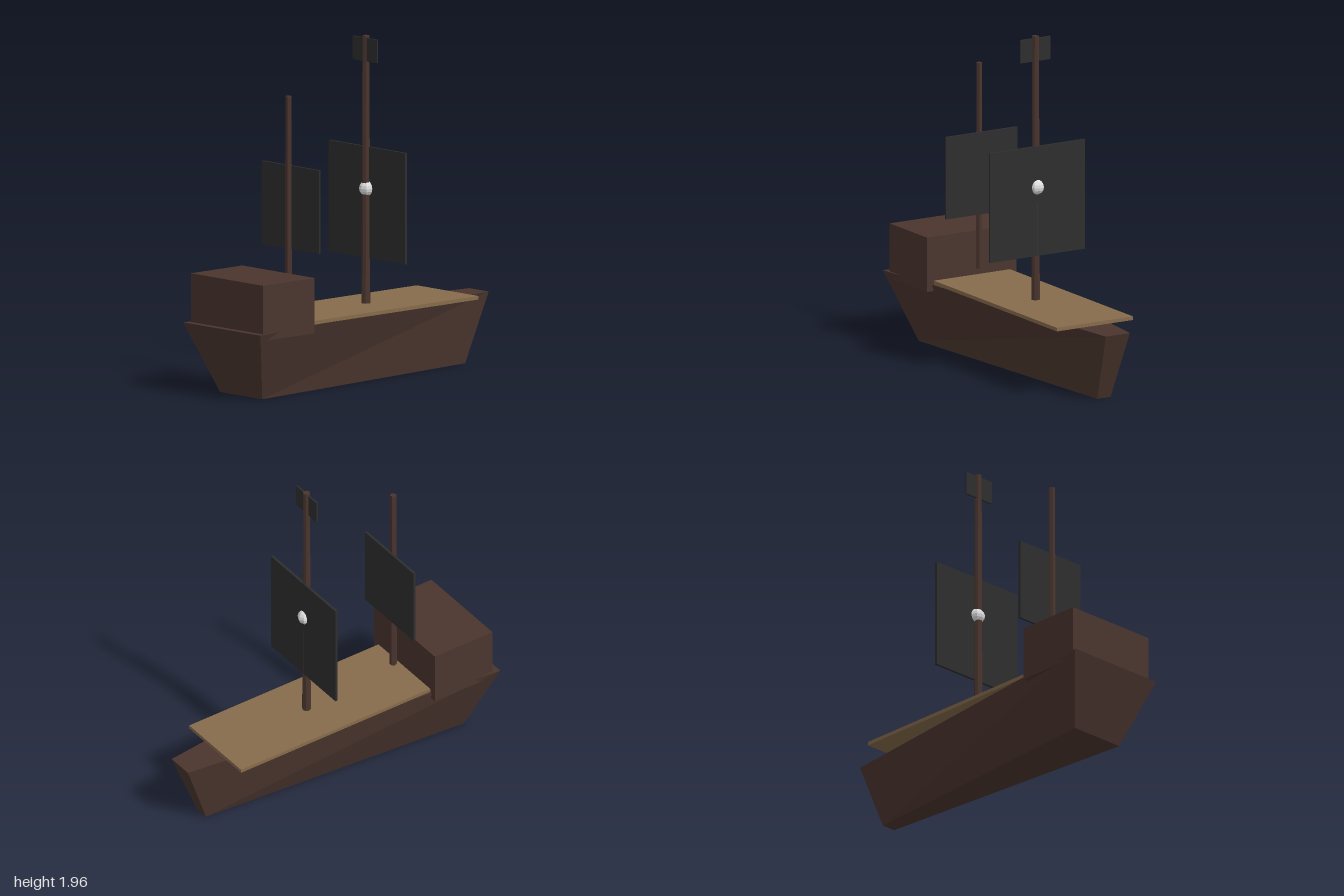
import * as THREE from 'three';

const mat = (name, color) => {
  const m = new THREE.MeshStandardMaterial({ color, flatShading: true });
  m.name = name;
  return m;
};

export function createModel() {
  const darkWood = mat('dark wood', 0x4a352e);
  const deckWood = mat('deck wood', 0x876b4b);
  const cloth = mat('black cloth', 0x2e2e2e);
  const pale = mat('pale grey', 0xe0e0e0);
  const ship = new THREE.Group();
  ship.name = 'ship';

  const add = (name, geometry, material, x, y, z = 0) => {
    const mesh = new THREE.Mesh(geometry, material);
    mesh.name = name;
    mesh.position.set(x, y, z);
    ship.add(mesh);
    return mesh;
  };
  // Box given by its x range, y range and half width in z
  const box = (name, material, x0, x1, y0, y1, halfZ) =>
    add(name, new THREE.BoxGeometry(x1 - x0, y1 - y0, 2 * halfZ), material, (x0 + x1) / 2, (y0 + y1) / 2);

  // Hull: a box narrowed toward the bow (+x) and toward the keel
  const hull = new THREE.BoxGeometry(2, 0.4, 2);
  const p = hull.attributes.position;
  for (let i = 0; i < p.count; i++) {
    const top = p.getY(i) > 0;
    const bow = p.getX(i) > 0;
    const halfWidth = bow ? (top ? 0.08 : 0.045) : (top ? 0.32 : 0.175);
    p.setX(i, Math.sign(p.getX(i)) * (top ? 1 : 0.85));
    p.setZ(i, Math.sign(p.getZ(i)) * halfWidth);
  }
  hull.computeVertexNormals();
  add('hull', hull, darkWood, 0, 0.2);

  // Deck planking and stern cabin
  box('deck', deckWood, -0.755, 0.755, 0.402, 0.423, 0.255);
  box('sternCabin', darkWood, -0.96, -0.56, 0.362, 0.68, 0.3);

  // Masts
  const mast = (name, x, y0, y1, rTop, rBottom, sides) =>
    add(name, new THREE.CylinderGeometry(rTop, rBottom, y1 - y0, sides), darkWood, x, (y0 + y1) / 2);
  mast('mainMast', 0.12, 0.41, 1.963, 0.02, 0.025, 8);
  mast('rearMast', -0.482, 0.48, 1.682, 0.018, 0.021, 6);

  // Sails and flag
  box('mainSail', cloth, 0.128, 0.143, 0.682, 1.322, 0.318);
  box('rearSail', cloth, -0.469, -0.455, 0.8, 1.28, 0.238);
  box('flag', cloth, 0.111, 0.121, 1.815, 1.95, 0.1);

  // Round emblem on the main sail
  add('sailEmblem', new THREE.SphereGeometry(0.045, 8, 8), pale, 0.128, 1.083);

  return ship;
}
